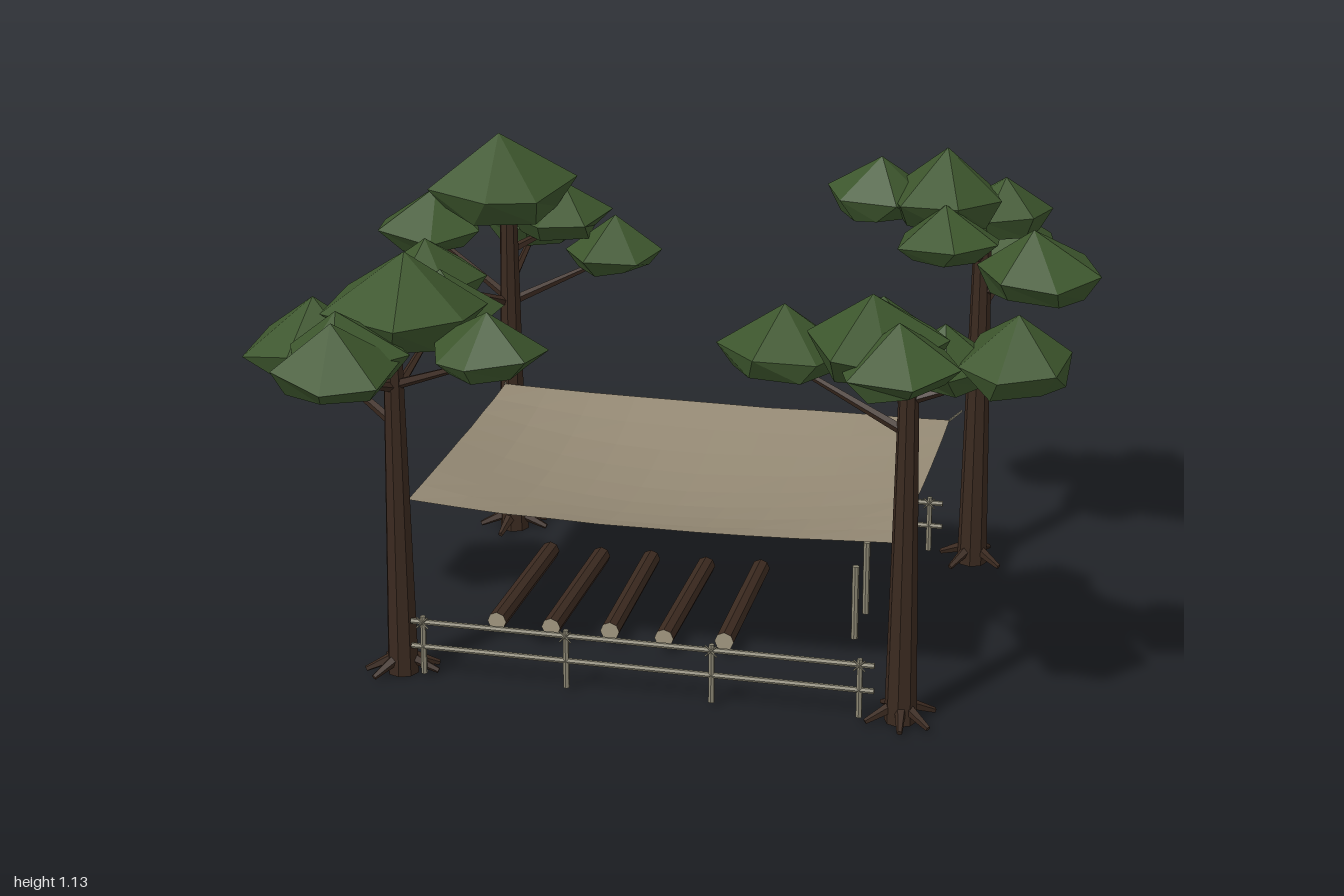
import * as THREE from 'three';

const mat = (name, color, extra = {}) => {
  const m = new THREE.MeshStandardMaterial({ color, flatShading: true, ...extra });
  m.name = name;
  return m;
};

export function createModel() {
  const bark = mat('bark', 0x3a291f);
  const leaf = mat('leaf', 0x3d562d);
  const wood = mat('weathered wood', 0x8a8572);
  const cutWood = mat('cut wood', 0xa0967f);
  const cloth = mat('canvas', 0x938873, { side: THREE.DoubleSide });

  const root = new THREE.Group();
  root.name = 'treeShelter';
  const V = (x, y, z) => new THREE.Vector3(x, y, z);

  let seed = 7;
  const rand = () => (seed = (seed * 16807) % 2147483647) / 2147483647;

  const add = (parent, name, geometry, material) => {
    const m = new THREE.Mesh(geometry, material);
    m.name = name;
    parent.add(m);
    return m;
  };

  // Tapered round bar between two points
  const bar = (parent, name, a, b, ra, rb, material, sides = 6) => {
    const m = add(parent, name, new THREE.CylinderGeometry(rb, ra, a.distanceTo(b), sides), material);
    m.position.copy(a).lerp(b, 0.5);
    m.quaternion.setFromUnitVectors(V(0, 1, 0), b.clone().sub(a).normalize());
    return m;
  };

  // Faceted leaf clump: off-centre apex, wide irregular rim, lower ring, flat underside
  const clumpGeometry = (r) => {
    const n = 6, index = [];
    const pos = [(rand() - 0.5) * 0.2 * r, r * 0.78, (rand() - 0.5) * 0.2 * r];
    const turn = rand() * 6.28;
    for (const [radius, y] of [[1.1, 0], [0.8, -0.38]]) {
      for (let i = 0; i < n; i++) {
        const a = turn + ((i + (rand() - 0.5) * 0.4) / n) * Math.PI * 2;
        const k = r * radius * (0.9 + rand() * 0.2);
        pos.push(Math.cos(a) * k, r * (y + (rand() - 0.5) * 0.2), Math.sin(a) * k);
      }
    }
    pos.push(0, -r * 0.45, 0);
    for (let i = 0; i < n; i++) {
      const j = (i + 1) % n;
      const a = 1 + i, b = 1 + j, c = 1 + n + i, d = 1 + n + j;
      index.push(0, b, a, a, b, c, b, d, c, c, d, 2 * n + 1);
    }
    const g = new THREE.BufferGeometry();
    g.setAttribute('position', new THREE.Float32BufferAttribute(pos, 3));
    g.setIndex(index);
    g.computeVertexNormals();
    return g;
  };

  // Trees: base position, trunk height, clumps as [x, apex height, z, radius]
  const trees = [
    { name: 'frontRightTree', x: -0.6, z: 0.475, h: 0.9, clumps: [
      [-0.58, 1.06, 0.44, 0.17], [-0.845, 0.9, 0.34, 0.15], [-0.57, 0.95, 0.23, 0.14],
      [-0.67, 0.97, 0.62, 0.14], [-0.66, 0.97, 0.71, 0.145], [-0.35, 0.97, 0.55, 0.125]] },
    { name: 'frontLeftTree', x: 0.625, z: 0.47, h: 0.92, clumps: [
      [0.32, 0.99, 0.4, 0.14], [0.52, 0.98, 0.26, 0.125], [0.56, 1.0, 0.37, 0.14],
      [0.58, 1.11, 0.63, 0.155], [0.865, 1.03, 0.48, 0.135], [0.64, 1.07, 0.72, 0.125],
      [0.7, 0.99, 0.45, 0.12]] },
    { name: 'backRightTree', x: -0.59, z: -0.47, h: 0.95, clumps: [
      [-0.61, 1.1, -0.47, 0.175], [-0.845, 0.9, -0.61, 0.135], [-0.58, 0.91, -0.71, 0.13],
      [-0.74, 0.87, -0.27, 0.135], [-0.34, 0.87, -0.57, 0.12], [-0.48, 0.95, -0.57, 0.12]] },
    { name: 'backLeftTree', x: 0.65, z: -0.515, h: 0.96, clumps: [
      [0.55, 1.13, -0.49, 0.155], [0.72, 0.9, -0.72, 0.115], [0.385, 1.1, -0.49, 0.125],
      [0.8, 0.94, -0.46, 0.14], [0.69, 1.04, -0.58, 0.12], [0.59, 1.03, -0.32, 0.115]] },
  ];
  for (const t of trees) {
    const tree = new THREE.Group();
    tree.name = t.name;
    root.add(tree);
    bar(tree, 'trunk', V(t.x, 0, t.z), V(t.x, t.h, t.z), 0.039, 0.022, bark, 8);
    for (let i = 0; i < 5; i++) {
      const a = (i / 5) * Math.PI * 2 + rand();
      bar(tree, 'treeRoot', V(t.x + Math.cos(a) * 0.02, 0.04, t.z + Math.sin(a) * 0.02),
        V(t.x + Math.cos(a) * 0.09, 0.01, t.z + Math.sin(a) * 0.09), 0.015, 0.007, bark, 5);
    }
    for (const [x, y, z, r] of t.clumps) {
      const rim = y - r * 0.78;
      add(tree, 'leafClump', clumpGeometry(r), leaf).position.set(x, rim, z);
      const reach = Math.hypot(x - t.x, z - t.z);
      bar(tree, 'branch', V(t.x, Math.min(rim - reach * 0.5, t.h - 0.04), t.z), V(x, rim - r * 0.2, z),
        0.013, 0.006, bark, 5);
    }
  }

  // Canvas roof, sagging deepest a little right of centre, with slack front and side edges
  const roof = new THREE.PlaneGeometry(1.19, 0.84, 10, 8).rotateX(-Math.PI / 2);
  const p = roof.attributes.position;
  for (let i = 0; i < p.count; i++) {
    const s = p.getX(i) / 0.595, t = p.getZ(i) / 0.42;
    const u = (1 - s * s) * (1 - 0.25 * s), v = 1 - t * t;
    p.setY(i, 0.42 - 0.064 * u * v - 0.006 * u * (2 + t) - 0.006 * v * (2 + s) + (rand() - 0.5) * 0.003);
  }
  roof.translate(-0.005, 0, -0.02);
  roof.computeVertexNormals();
  add(root, 'canvasRoof', roof, cloth);

  // Short rope ends rising from the roof corners towards the trees
  for (const t of trees) {
    const corner = V(t.x < 0 ? -0.6 : 0.59, 0.418, t.z < 0 ? -0.44 : 0.4);
    bar(root, 'roofRope', corner, corner.clone().lerp(V(t.x, 0.455, t.z), 0.45), 0.003, 0.003, wood, 5);
  }

  // Two-rail fences with crossed lashings
  for (const [name, z] of [['frontFence', 0.495], ['backFence', -0.54]]) {
    const fence = new THREE.Group();
    fence.name = name;
    root.add(fence);
    for (const y of [0.08, 0.145]) {
      bar(fence, 'rail', V(-0.57, y, z), V(0.565, y, z), 0.007, 0.007, wood);
    }
    for (const x of [-0.54, -0.183, 0.174, 0.53]) {
      bar(fence, 'fencePost', V(x, 0.01, z), V(x, 0.16, z), 0.008, 0.007, wood);
      for (const s of [-1, 1]) {
        bar(fence, 'lashing', V(x - s * 0.014, 0.131, z + 0.007), V(x + s * 0.014, 0.159, z + 0.007),
          0.002, 0.002, wood, 4);
      }
    }
  }

  // Log benches with pale cut ends, each turned slightly
  [-0.43, -0.29, -0.15, -0.005, 0.14].forEach((x, i) => {
    const log = add(root, 'logBench', new THREE.CylinderGeometry(0.024, 0.024, 0.47, 8), [bark, cutWood, cutWood]);
    log.rotation.set(Math.PI / 2, 0, [0.02, 0.015, -0.02, 0, -0.015][i]);
    log.position.set(x, 0.041, [-0.005, 0, -0.01, 0, -0.015][i]);
  });

  // Pair of standing posts
  for (const z of [0.06, -0.097]) {
    bar(root, 'standingPost', V(0.44, 0.01, z), V(0.44, 0.205, z), 0.009, 0.009, wood, 7);
  }
  return root;
}
